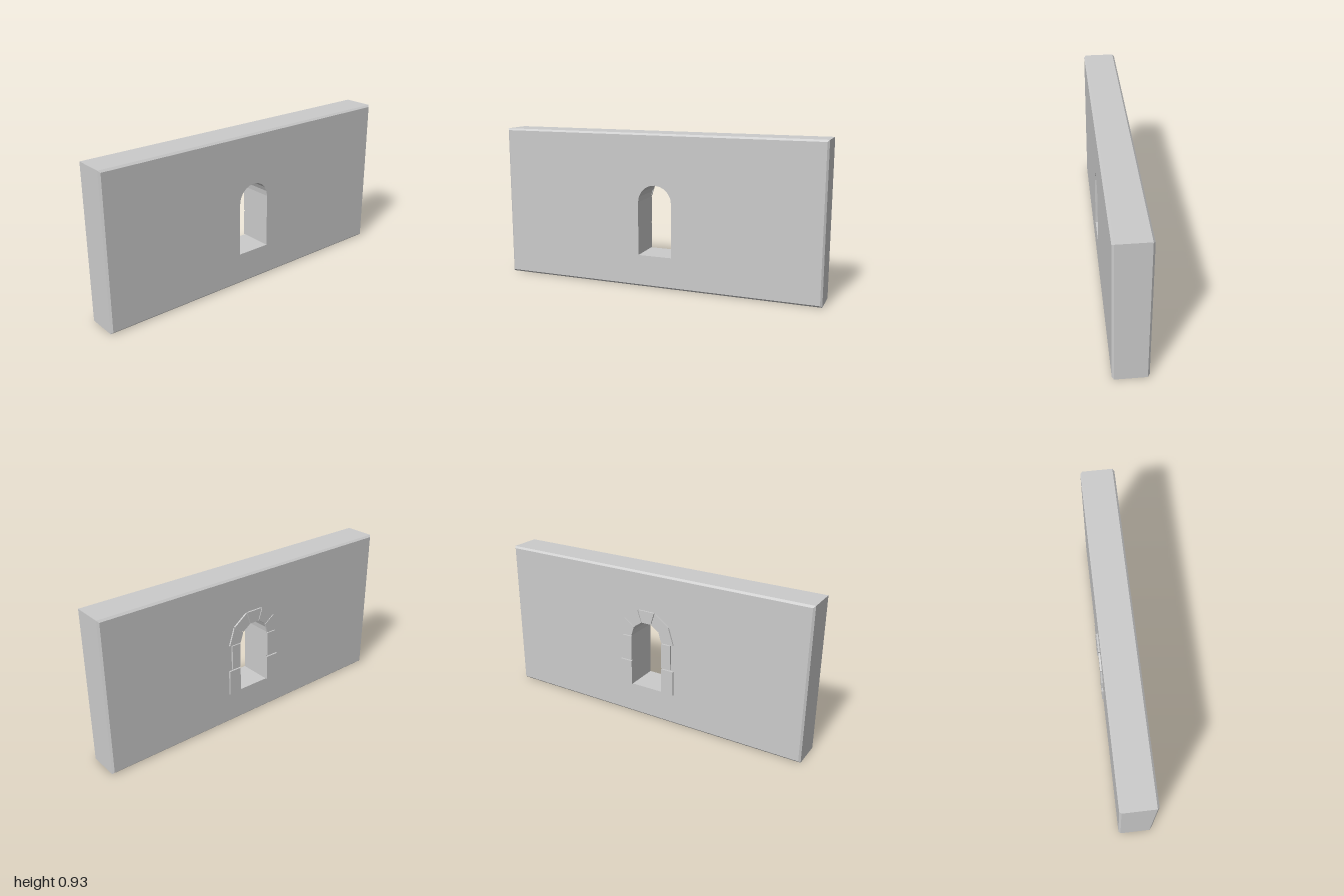
import * as THREE from 'three';

const HEIGHT = 0.93, HALF = 1, FRONT_X = 0.105, BACK_X = -0.098, TRIM_X = -0.108;
const CHAMFER = 0.011;
const SILL = 0.195, SPRING = 0.52, RADIUS = 0.105, OUTER = 0.184;

const material = new THREE.MeshStandardMaterial({ color: 0xcccccc, flatShading: true });

const polygon = (points) => new THREE.Shape(points.map(([z, y]) => new THREE.Vector2(z, y)));

// Turns an outline drawn in (z, y) so that its depth runs toward -x
function addSlab(group, name, geometry, x) {
  geometry.rotateY(-Math.PI / 2);
  const mesh = new THREE.Mesh(geometry, material);
  mesh.name = name;
  mesh.position.x = x;
  group.add(mesh);
}

// Wall with an arched opening; only its outer edges are chamfered
function wallGeometry() {
  const depth = FRONT_X - BACK_X;
  const shape = polygon([[-HALF, 0], [HALF, 0], [HALF, HEIGHT], [-HALF, HEIGHT]]);
  const hole = [[-RADIUS, SILL], [RADIUS, SILL]];
  for (let i = 0; i <= 10; i++) {
    const a = (i / 10) * Math.PI;
    hole.push([RADIUS * Math.cos(a), SPRING + RADIUS * Math.sin(a)]);
  }
  shape.holes.push(new THREE.Path(hole.map(([z, y]) => new THREE.Vector2(z, y))));
  const geometry = new THREE.ExtrudeGeometry(shape, { depth, steps: 3, bevelEnabled: false });
  const p = geometry.attributes.position;
  for (let i = 0; i < p.count; i++) {
    const layer = Math.round((p.getZ(i) / depth) * 3);
    p.setZ(i, [0, CHAMFER, depth - CHAMFER, depth][layer]);
    const outerCorner = Math.abs(p.getX(i)) > 0.9;
    if (outerCorner && (layer === 0 || layer === 3)) {
      p.setX(i, p.getX(i) - Math.sign(p.getX(i)) * CHAMFER);
      p.setY(i, p.getY(i) + (p.getY(i) < HEIGHT / 2 ? CHAMFER : -CHAMFER));
    }
  }
  geometry.computeVertexNormals();
  return geometry;
}

export function createModel() {
  const model = new THREE.Group();
  model.name = 'wallWithArchedWindow';
  addSlab(model, 'wall', wallGeometry(), FRONT_X);

  const trim = new THREE.Group();
  trim.name = 'stoneSurround';
  model.add(trim);
  const addStone = (name, points) => addSlab(trim, name,
    new THREE.ExtrudeGeometry(polygon(points), { depth: BACK_X - TRIM_X, bevelEnabled: false }), BACK_X);

  // Jamb stones: a wide one below a narrow one on each side
  for (const side of [-1, 1]) {
    for (const [name, width, y0, y1] of [
      ['lowerJambStone', 0.08, SILL, 0.352],
      ['upperJambStone', 0.06, 0.36, 0.515],
    ]) {
      const a = side * RADIUS, b = side * (RADIUS + width);
      addStone(name, [[a, y0], [b, y0], [b, y1], [a, y1]]);
    }
  }

  // Five straight-sided arch stones with thin joints
  const step = Math.PI / 5, joint = 0.015;
  for (let i = 0; i < 5; i++) {
    const a0 = i * step + (i > 0 ? joint : 0);
    const a1 = (i + 1) * step - (i < 4 ? joint : 0);
    const at = (r, a) => [r * Math.cos(a), SPRING + r * Math.sin(a)];
    addStone('archStone', [at(RADIUS, a0), at(OUTER, a0), at(OUTER, a1), at(RADIUS, a1)]);
  }
  return model;
}
